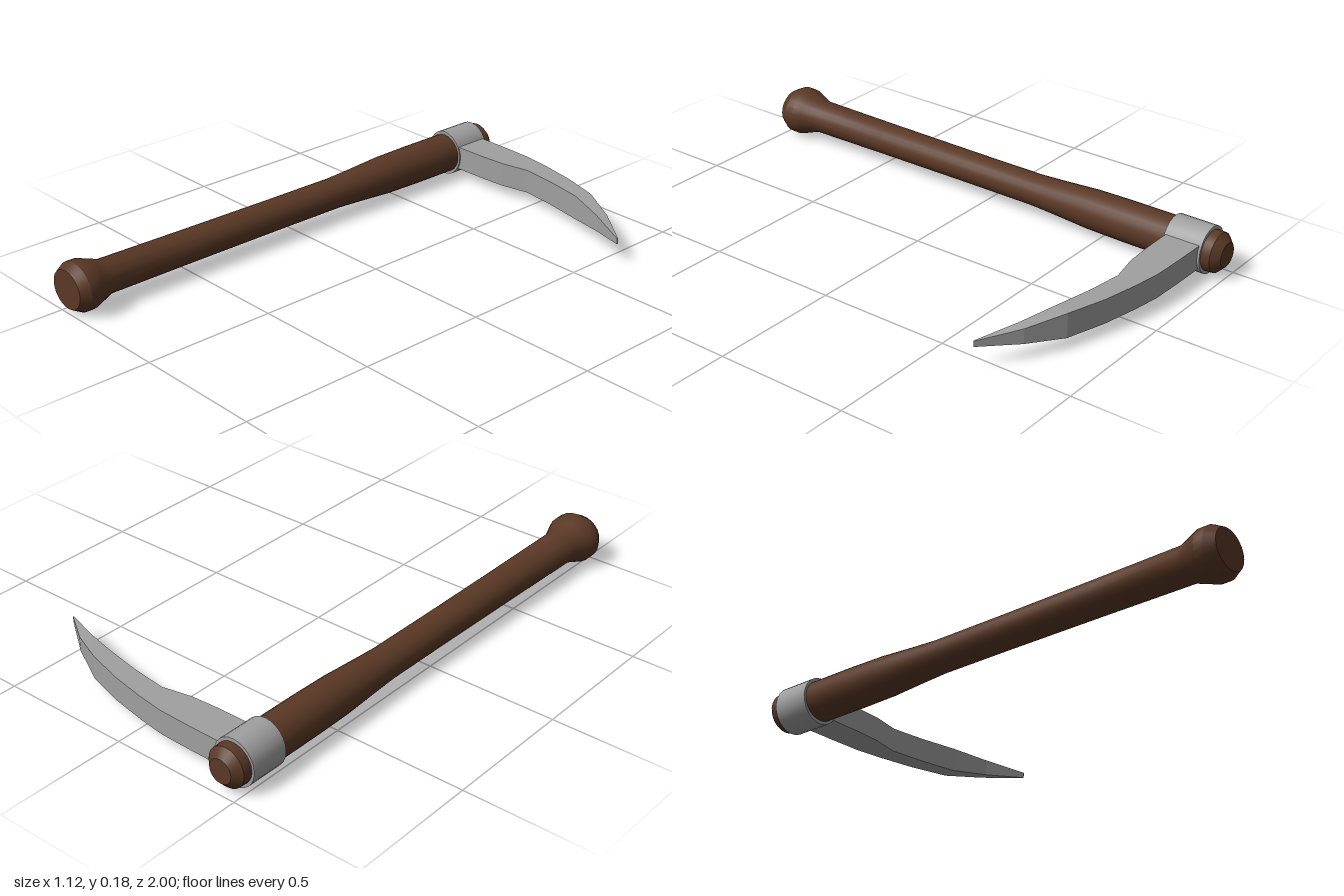
import * as THREE from 'three';
import { toCreasedNormals, mergeVertices } from 'three/addons/utils/BufferGeometryUtils.js';

const wood = new THREE.MeshStandardMaterial({ color: 0x5a3825, name: 'dark wood' });
const steel = new THREE.MeshStandardMaterial({ color: 0xa0a0a0, name: 'grey steel' });

const AXIS_Y = 0.094;

// Turned part along z: profile of [radius, z]; oval and lean follow a rule per vertex
function turned(name, profile, material, oval) {
  const pts = profile.map(([r, z]) => new THREE.Vector2(r, z));
  const geo = new THREE.LatheGeometry(pts, 24);
  geo.rotateX(Math.PI / 2);
  const p = geo.attributes.position;
  for (let i = 0; i < p.count; i++) {
    const z = p.getZ(i);
    p.setX(i, p.getX(i) - 0.453 - 0.007 * z);
    p.setY(i, p.getY(i) * oval(z) + AXIS_Y);
  }
  const mesh = new THREE.Mesh(toCreasedNormals(geo, 0.45), material);
  mesh.name = name;
  return mesh;
}

// Curved blade: paired stations along the outer and inner edges, constant thickness tapering to the tip
function buildBlade() {
  const stations = [ // outer x, z, inner x, z
    [-0.43, -0.93, -0.43, -0.795],
    [-0.25, -0.928, -0.25, -0.796],
    [-0.12, -0.924, -0.14, -0.802],
    [-0.01, -0.908, -0.03, -0.824],
    [0.13, -0.88, 0.11, -0.806],
    [0.28, -0.835, 0.26, -0.776],
    [0.42, -0.765, 0.40, -0.73],
    [0.557, -0.668, 0.553, -0.666],
  ];
  const half = x => 0.046 - 0.036 * Math.max(0, (x - 0.28) / 0.28);
  const verts = [];
  const index = [];
  const mid = 0.091;
  for (const [ox, oz, ix, iz] of stations) {
    verts.push(ox, mid + half(ox), oz, ix, mid + half(ix), iz,
      ix, mid - half(ix), iz, ox, mid - half(ox), oz);
  }
  for (let s = 0; s < stations.length - 1; s++) {
    for (let k = 0; k < 4; k++) {
      const a = s * 4 + k, b = s * 4 + (k + 1) % 4;
      index.push(a, b, b + 4, a, b + 4, a + 4);
    }
  }
  const e = (stations.length - 1) * 4;
  index.push(0, 2, 1, 0, 3, 2, e, e + 1, e + 2, e, e + 2, e + 3);
  const geo = new THREE.BufferGeometry();
  geo.setAttribute('position', new THREE.Float32BufferAttribute(verts, 3));
  geo.setIndex(index);
  const flat = geo.toNonIndexed();
  flat.computeVertexNormals();
  const mesh = new THREE.Mesh(flat, steel);
  mesh.name = 'blade';
  return mesh;
}

export function createModel() {
  const model = new THREE.Group();
  model.name = 'handSickle';

  // Handle: swollen at the head, slim grip, flared butt
  const handle = [
    [0, -1], [0.045, -1], [0.074, -0.972], [0.076, -0.92], [0.076, -0.6], [0.074, -0.45],
    [0.068, -0.3], [0.064, -0.2], [0.064, 0.1], [0.066, 0.5], [0.069, 0.85],
    [0.088, 0.9], [0.1, 0.93], [0.1, 0.965], [0.079, 1], [0, 1],
  ];
  model.add(turned('handle', handle, wood, z => 1 - 0.09 * THREE.MathUtils.smoothstep(z, -0.5, -0.2)));

  // Metal collar holding the blade
  const collar = [[0.07, -0.938], [0.084, -0.938], [0.084, -0.79], [0.07, -0.79]];
  model.add(turned('collar', collar, steel, () => 1.06));

  model.add(buildBlade());
  return model;
}
